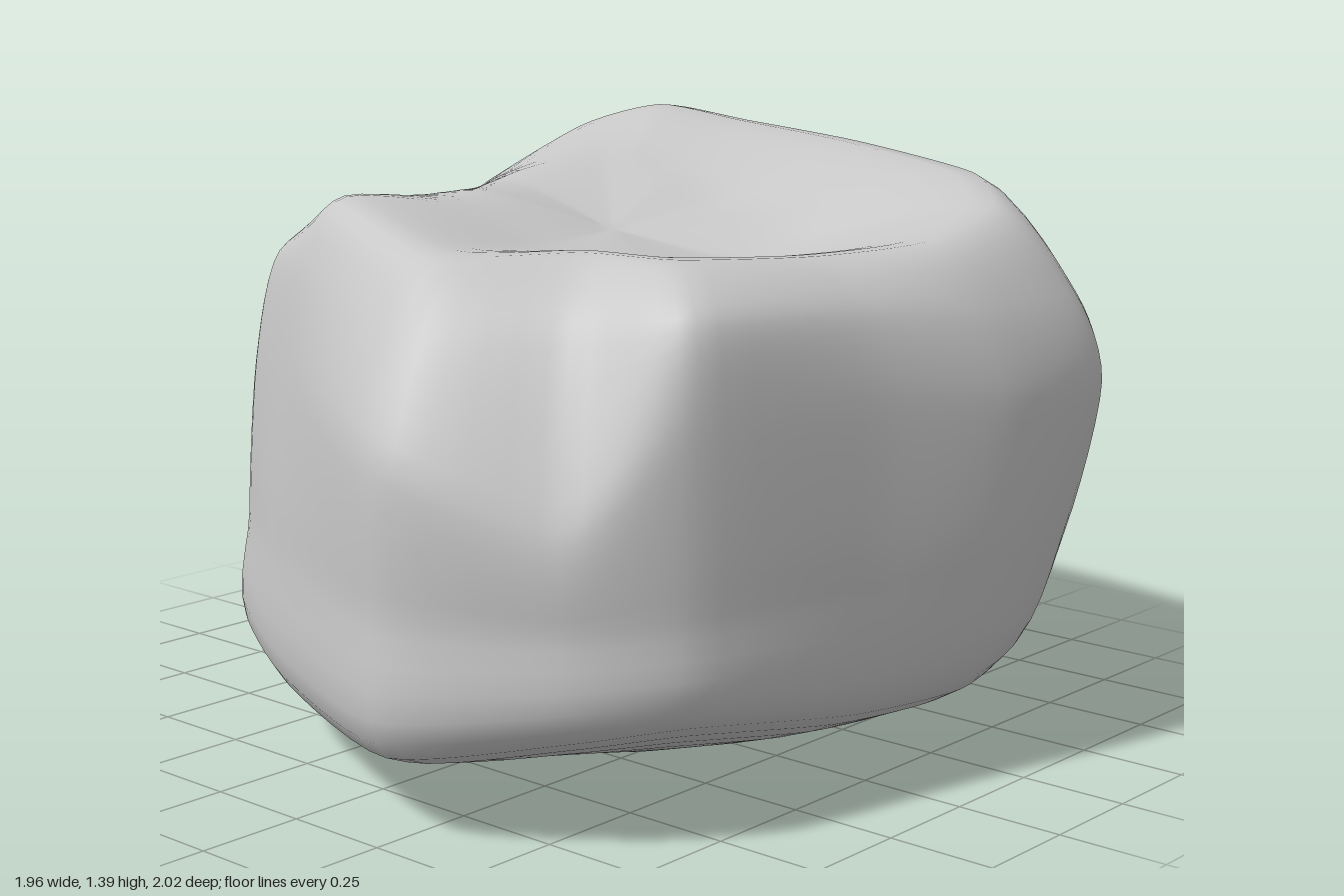
import * as THREE from 'three';

// Stations round the boulder, seen from above: x and z of its widest outline,
// starting at the front tip and passing +x, the back and -x.
const outline = [
  [0.25, 1.0], [0.6, 0.82], [0.77, 0.6], [0.88, 0.15], [0.985, -0.22], [0.955, -0.59],
  [0.7, -0.8], [0.2, -0.85], [-0.25, -0.92], [-0.66, -1.0], [-0.91, -0.83], [-0.985, -0.22],
  [-0.96, 0.1], [-0.8, 0.38], [-0.62, 0.6], [-0.33, 0.755],
];
const COUNT = outline.length;

// One loop: the outline scaled and set to a height at every station.
const loop = (scales, heights) => outline.map(([x, z], i) => {
  const s = Array.isArray(scales) ? scales[i] : scales;
  const y = Array.isArray(heights) ? heights[i] : heights;
  return new THREE.Vector3(x * s, y, z * s);
});

// Loops from the ground up to the dished top
const base = loop(
  [0.25, 0.3, 0.33, 0.38, 0.36, 0.38, 0.38, 0.38, 0.38, 0.34, 0.36, 0.45, 0.46, 0.42, 0.38, 0.32], 0.005);
const lowEdge = loop(
  [0.96, 0.96, 0.96, 0.93, 0.88, 0.82, 0.75, 0.76, 0.76, 0.66, 0.67, 0.84, 0.93, 0.98, 0.98, 0.97],
  [0.18, 0.24, 0.26, 0.2, 0.19, 0.2, 0.2, 0.2, 0.19, 0.2, 0.21, 0.21, 0.2, 0.2, 0.21, 0.16]);
const belly = loop(
  [1, 1, 1, 1, 0.98, 0.94, 0.92, 0.91, 0.91, 0.84, 0.85, 0.98, 1, 1, 0.99, 1],
  [0.5, 0.48, 0.5, 0.5, 0.5, 0.5, 0.5, 0.5, 0.5, 0.5, 0.5, 0.45, 0.37, 0.4, 0.5, 0.5]);
const upperEdge = loop(
  [1, 0.99, 1, 1, 0.99, 1, 0.98, 0.96, 0.96, 0.95, 0.97, 0.99, 0.91, 0.88, 0.96, 0.96],
  [0.82, 0.69, 0.9, 0.9, 0.85, 0.84, 0.8, 0.82, 0.86, 0.86, 0.86, 0.76, 0.61, 0.71, 0.86, 0.88]);
const shoulder = loop(
  [0.87, 0.81, 0.96, 0.94, 0.92, 0.94, 0.98, 0.98, 1, 1, 1, 0.92, 0.75, 0.82, 0.89, 0.9],
  [1.06, 1.07, 1.1, 1.08, 1.05, 1.04, 0.98, 1.0, 1.06, 1.09, 1.09, 0.96, 0.8, 0.95, 1.11, 1.13]);
const rim = loop(
  [0.72, 0.62, 0.77, 0.77, 0.77, 0.77, 0.8, 0.84, 0.8, 0.73, 0.79, 0.72, 0.59, 0.64, 0.66, 0.78],
  [1.19, 1.19, 1.19, 1.17, 1.18, 1.23, 1.28, 1.325, 1.355, 1.38, 1.31, 1.13, 0.98, 1.1, 1.21, 1.265]);
const dish = loop(0.36,
  [1.165, 1.15, 1.14, 1.12, 1.11, 1.14, 1.18, 1.21, 1.26, 1.3, 1.3, 1.27, 1.25, 1.25, 1.25, 1.22]);
const loops = [base, lowEdge, belly, upperEdge, shoulder, rim, dish];

// Skin with soft creases: taut curves round every loop, then from pole to pole.
function createSkin(around, upward) {
  const rings = loops.map((points) => {
    const curve = new THREE.CatmullRomCurve3(points, true, 'catmullrom', 0.33);
    return Array.from({ length: around }, (_, i) => curve.getPoint(i / around));
  });
  const bottom = new THREE.Vector3(0, 0, 0);
  const top = new THREE.Vector3(0, 1.16, 0);
  const positions = [];
  const index = [];
  for (let i = 0; i < around; i++) {
    const meridian = new THREE.CatmullRomCurve3(
      [bottom, ...rings.map((ring) => ring[i]), top], false, 'catmullrom', 0.38);
    for (let j = 1; j < upward; j++) {
      const p = meridian.getPoint(j / upward);
      positions.push(p.x, Math.max(p.y, 0), p.z);
    }
  }
  positions.push(...bottom.toArray(), ...top.toArray());
  const rows = upward - 1;
  const south = around * rows;
  const north = south + 1;
  for (let i = 0; i < around; i++) {
    const a = i * rows;
    const b = ((i + 1) % around) * rows;
    index.push(south, b, a);
    for (let j = 0; j < rows - 1; j++) {
      index.push(a + j, b + j, b + j + 1, a + j, b + j + 1, a + j + 1);
    }
    index.push(a + rows - 1, b + rows - 1, north);
  }
  const geometry = new THREE.BufferGeometry();
  geometry.setAttribute('position', new THREE.Float32BufferAttribute(positions, 3));
  geometry.setIndex(index);
  geometry.computeVertexNormals();
  return geometry;
}

export function createModel() {
  const model = new THREE.Group();
  model.name = 'boulder';
  const stone = new THREE.MeshStandardMaterial({ color: 0xc8c8c8 });
  stone.name = 'pale grey stone';
  const rock = new THREE.Mesh(createSkin(COUNT * 6, 48), stone);
  rock.name = 'rock';
  model.add(rock);
  return model;
}
